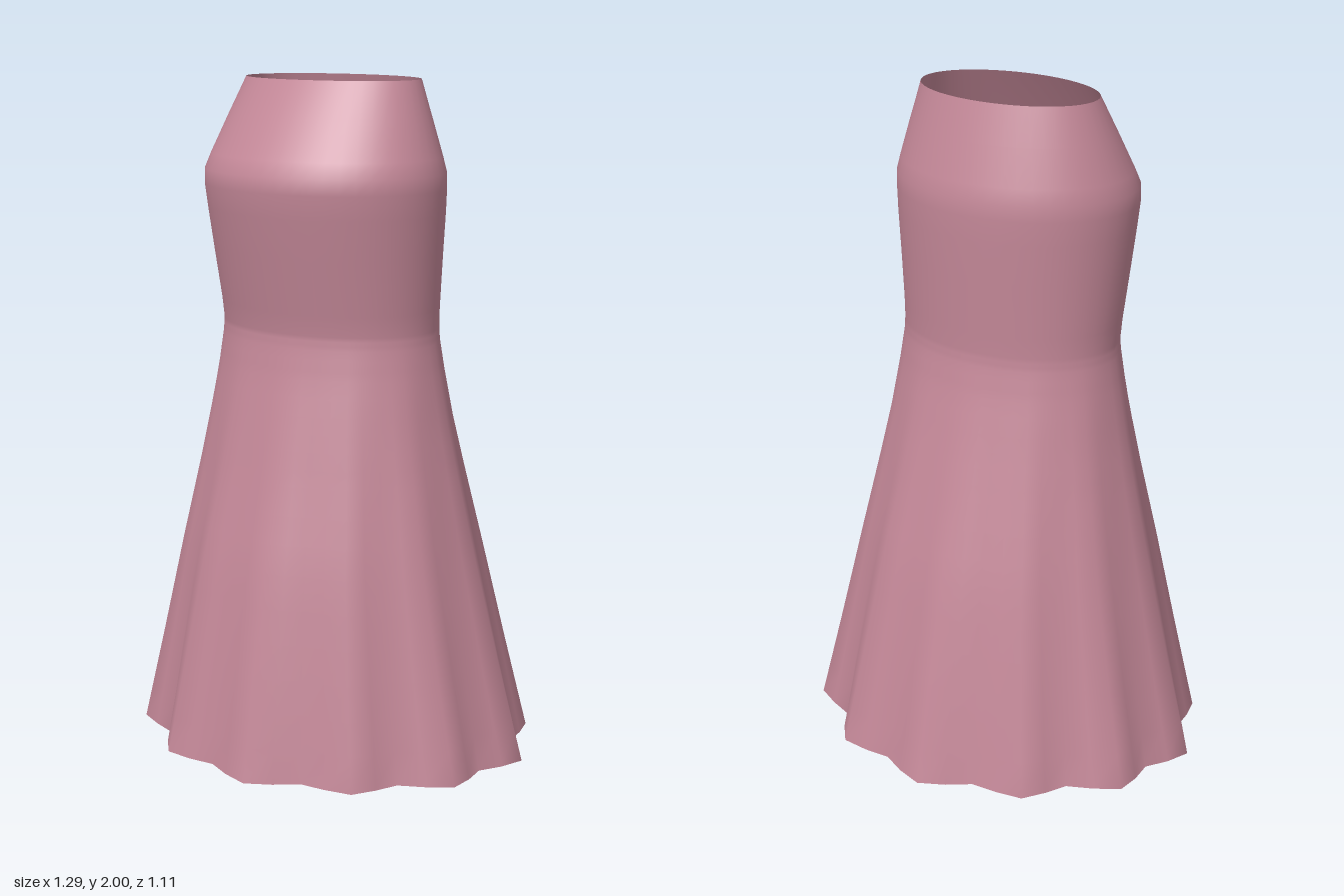
import * as THREE from 'three';

// Elliptical cross-sections: height, half width, half depth, z offset
const SECTIONS = [
  [0, 0.62, 0.535, 0], [0.3, 0.548, 0.475, 0.006], [0.6, 0.48, 0.413, 0.012],
  [0.85, 0.427, 0.348, 0.016], [1.0, 0.397, 0.311, 0.019], [1.15, 0.371, 0.275, 0.021],
  [1.24, 0.357, 0.259, 0.022], [1.28, 0.354, 0.256, 0.022], [1.34, 0.356, 0.263, 0.026],
  [1.5, 0.369, 0.282, 0.038], [1.62, 0.379, 0.296, 0.046], [1.69, 0.384, 0.302, 0.051],
  [1.735, 0.383, 0.301, 0.051], [1.78, 0.369, 0.283, 0.045], [1.89, 0.33, 0.235, 0.028],
  [2, 0.29, 0.184, 0.011],
];
const AROUND = 48;
const FOLDS = 12;
const WAIST = 1.28;
const STEPS = 3; // rows between neighbouring sections

function createDressGeometry() {
  const rows = [];
  SECTIONS.forEach((s, k) => {
    const next = SECTIONS[k + 1];
    if (!next) return rows.push(s);
    const steps = s[0] < WAIST ? STEPS : 1;
    for (let i = 0; i < steps; i++) rows.push(s.map((v, n) => v + (next[n] - v) * i / steps));
  });

  const positions = [], indices = [];
  rows.forEach(([y, a, b, cz], j) => {
    // Pleats fade out from the hem to the waist
    const t = Math.max(0, 1 - y / WAIST);
    for (let i = 0; i < AROUND; i++) {
      const p = i / AROUND * Math.PI * 2;
      const r = 1 + t * (0.05 * Math.sin(FOLDS * p) - 0.036 * Math.sin(2 * p) ** 2);
      positions.push(a * r * Math.cos(p), y, cz - b * r * Math.sin(p));
      if (j < rows.length - 1) {
        const v = j * AROUND + i, w = j * AROUND + (i + 1) % AROUND;
        indices.push(v, w, w + AROUND, v, w + AROUND, v + AROUND);
      }
    }
  });
  const geometry = new THREE.BufferGeometry();
  geometry.setAttribute('position', new THREE.Float32BufferAttribute(positions, 3));
  geometry.setIndex(indices);
  geometry.computeVertexNormals();
  return geometry;
}

export function createModel() {
  const group = new THREE.Group();
  group.name = 'dress';
  const fabric = new THREE.MeshStandardMaterial({ color: 0xc48898, side: THREE.DoubleSide });
  fabric.name = 'dusty pink fabric';

  // Open bodice and pleated skirt in one piece of cloth
  const cloth = new THREE.Mesh(createDressGeometry(), fabric);
  cloth.name = 'bodiceAndSkirt';
  group.add(cloth);
  return group;
}
